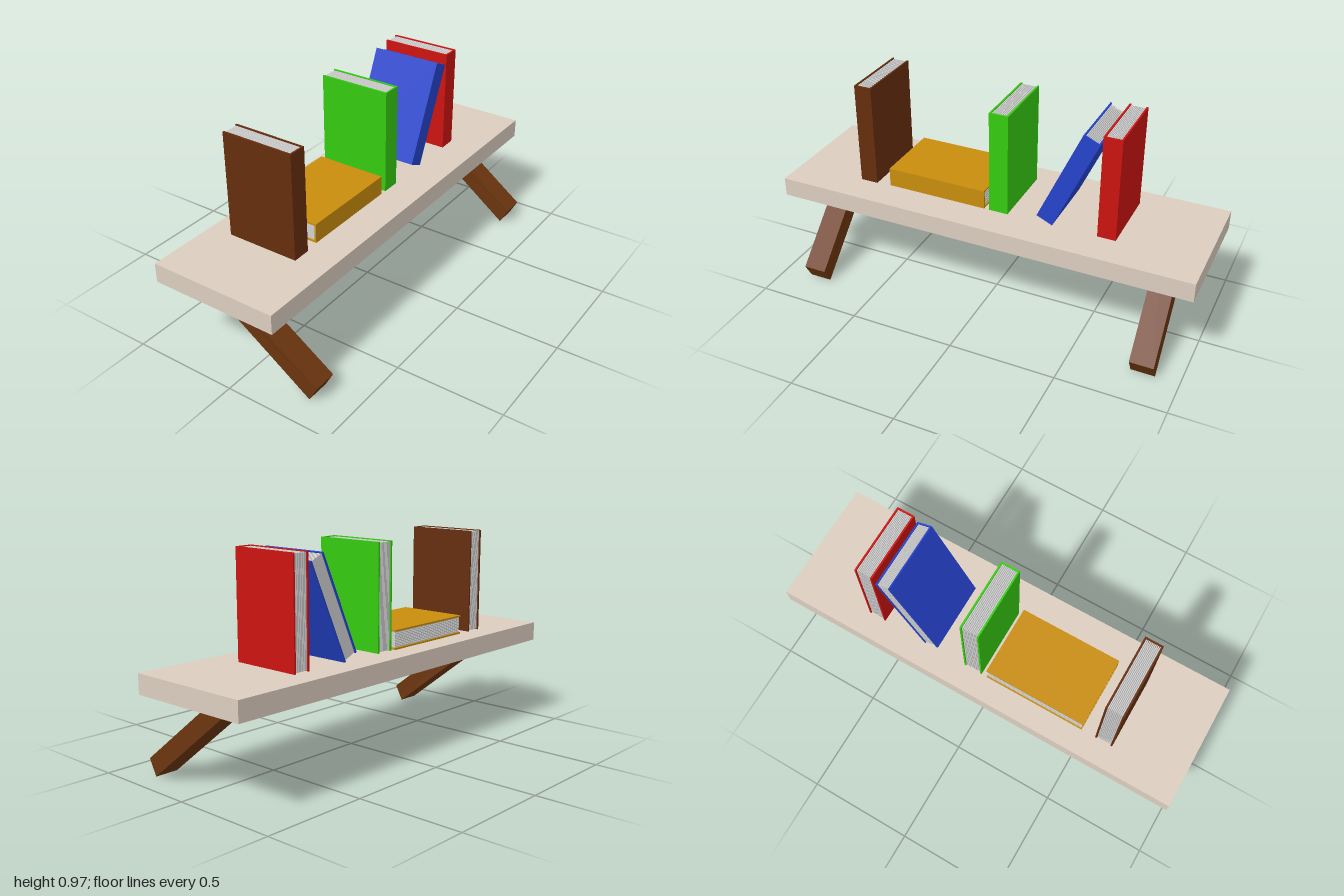
import * as THREE from 'three';

const mat = (color) => new THREE.MeshStandardMaterial({ color, flatShading: true });

function box(name, w, h, d, x, y, z, material) {
  const mesh = new THREE.Mesh(new THREE.BoxGeometry(w, h, d), material);
  mesh.position.set(x, y, z);
  mesh.name = name;
  return mesh;
}

// Upright book: base centred on its origin in z, spine towards +x, page edges open elsewhere
function book(name, color, thickness, spineX = 0.095) {
  const left = -0.245, height = 0.488, board = 0.008, sheets = 10;
  const width = spineX - left, midX = (spineX + left) / 2;
  const cover = mat(color), paper = mat(0xcccccc);
  const g = new THREE.Group();
  g.name = name;
  for (const s of [-1, 1]) {
    g.add(box(s > 0 ? 'frontCover' : 'backCover', width, height, board,
      midX, height / 2, s * (thickness - board) / 2, cover));
  }
  g.add(box('spine', board, height, thickness - 2 * board, spineX - board / 2, height / 2, 0, cover));
  // Separate leaves with narrow gaps
  const inner = thickness - 2 * board, pitch = inner / sheets;
  for (let i = 0; i < sheets; i++) {
    g.add(box('page', width - board - 0.005, height - 0.008, pitch * 0.75,
      midX - board / 2 + 0.0025, height / 2, -inner / 2 + (i + 0.5) * pitch, paper));
  }
  return g;
}

// Slanted leg: a box whose ends are moved to the shelf and to the foot
function leg(name, topZ, footZ, material) {
  const geo = new THREE.BoxGeometry(2, 2, 2);
  const p = geo.attributes.position;
  for (let i = 0; i < p.count; i++) {
    const foot = p.getX(i) > 0, upper = p.getY(i) > 0, side = p.getZ(i);
    if (foot) p.setXYZ(i, upper ? 0.35 : 0.31, upper ? 0.075 : 0.002, footZ + side * 0.055);
    else p.setXYZ(i, upper ? -0.1 : -0.23, 0.435, topZ + side * 0.055);
  }
  geo.computeVertexNormals();
  const mesh = new THREE.Mesh(geo, material);
  mesh.name = name;
  return mesh;
}

export function createModel() {
  const model = new THREE.Group();
  model.name = 'bookShelf';

  // Plank
  model.add(box('shelf', 0.605, 0.09, 2, -0.0525, 0.44, 0, mat(0xdccdbf)));

  // Support legs
  const wood = mat(0x6b350f);
  model.add(leg('frontLeg', 0.845, 0.81, wood), leg('backLeg', -0.81, -0.835, wood));

  // Books: name, colour, thickness, spine x, base y, base z, tilt
  const books = [
    ['brownBook', 0x662e0e, 0.085, 0.1, 0.485, 0.62, 0],
    ['yellowBook', 0xc98d0d, 0.09, 0.092, 0.53, 0.022, Math.PI / 2],
    ['greenBook', 0x36cc10, 0.09, 0.095, 0.487, -0.05, 0],
    ['blueBook', 0x2543cc, 0.082, 0.092, 0.502, -0.272, -0.422],
    ['redBook', 0xcc1410, 0.085, 0.092, 0.487, -0.5625, 0],
  ];
  for (const [name, color, thickness, spineX, y, z, tilt] of books) {
    const b = book(name, color, thickness, spineX);
    b.position.set(0, y, z);
    b.rotation.x = tilt;
    model.add(b);
  }
  return model;
}
